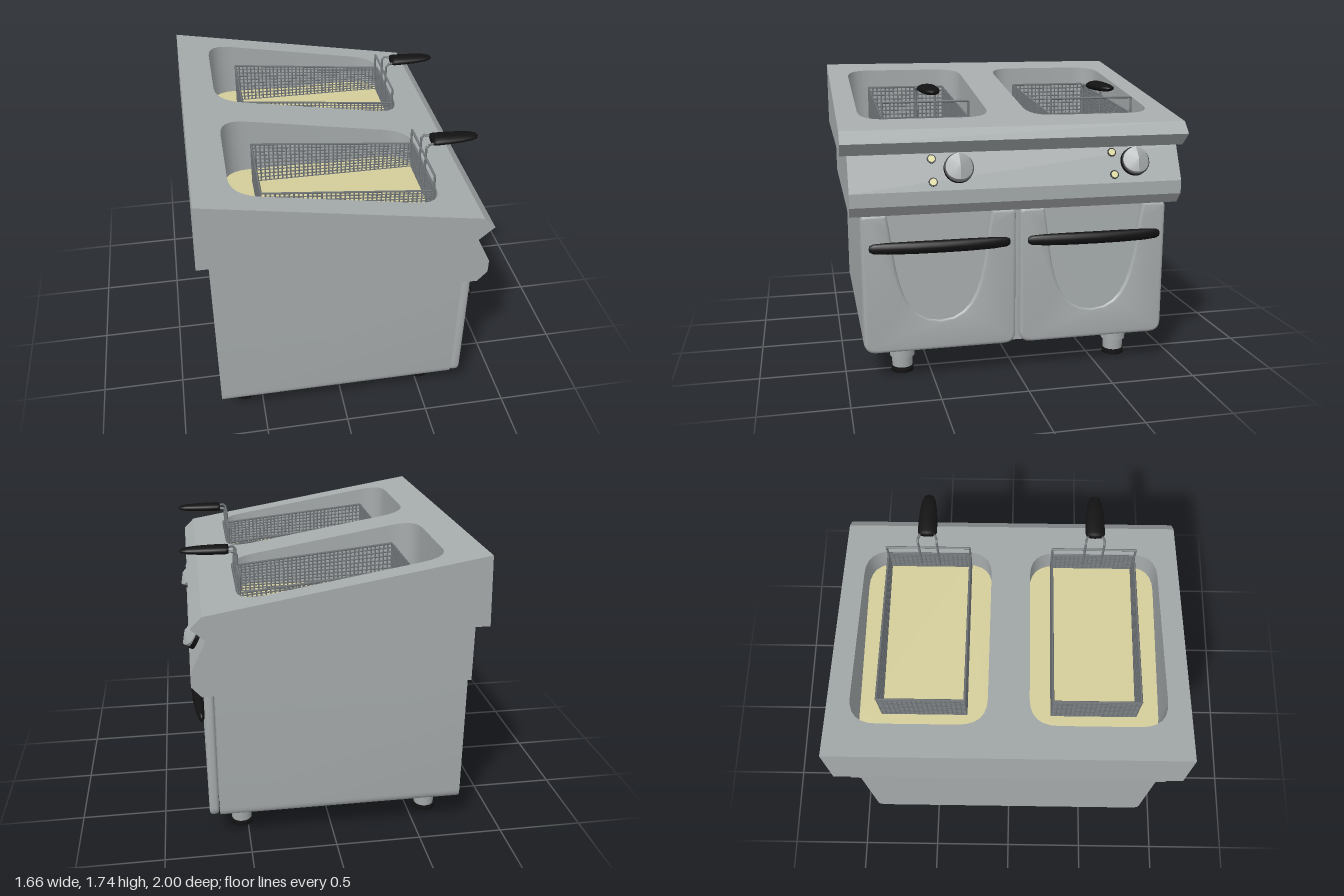
import * as THREE from 'three';
import { mergeGeometries, toCreasedNormals } from 'three/addons/utils/BufferGeometryUtils.js';

const mat = (name, color, side = THREE.FrontSide) =>
  Object.assign(new THREE.MeshStandardMaterial({ color, side }), { name });

const V = (x, y, z) => new THREE.Vector3(x, y, z);

function add(parent, name, geometry, material) {
  const mesh = new THREE.Mesh(geometry, material);
  mesh.name = name;
  parent.add(mesh);
  return mesh;
}

// Rounded rectangle with separate radii for the low-y and high-y corners
function roundRect(S, x0, y0, x1, y1, r, q = r) {
  const s = new S();
  s.moveTo(x0 + r, y0).lineTo(x1 - r, y0).quadraticCurveTo(x1, y0, x1, y0 + r);
  s.lineTo(x1, y1 - q);
  if (q) s.quadraticCurveTo(x1, y1, x1 - q, y1);
  s.lineTo(x0 + q, y1);
  if (q) s.quadraticCurveTo(x0, y1, x0, y1 - q);
  s.lineTo(x0, y0 + r).quadraticCurveTo(x0, y0, x0 + r, y0);
  return s;
}

// Side profile in x and y, extruded across the width
function prism(points, halfWidth) {
  const s = new THREE.Shape(points.map(([x, y]) => new THREE.Vector2(x, y)));
  return new THREE.ExtrudeGeometry(s, { depth: 2 * halfWidth, bevelEnabled: false }).translate(0, 0, -halfWidth);
}

// Straight wire between two points
function bar(a, b, r, sides = 4) {
  const d = b.clone().sub(a);
  const g = new THREE.CylinderGeometry(r, r, d.length(), sides);
  g.applyQuaternion(new THREE.Quaternion().setFromUnitVectors(V(0, 1, 0), d.normalize()));
  return g.translate(...a.clone().add(b).multiplyScalar(0.5).toArray());
}
const path = (pts, r) => pts.slice(1).map((p, i) => bar(pts[i], p, r, 8));

const wellShape = (S, c) => roundRect(S, -0.62, c - 0.38, 0.525, c + 0.38, 0.16);

// Sloping top with two rounded wells
function hoodGeometry() {
  const s = new THREE.Shape();
  s.moveTo(-0.83, -1).lineTo(0.72, -1).lineTo(0.72, 1).lineTo(-0.83, 1).lineTo(-0.83, -1);
  for (const c of [-0.495, 0.495]) s.holes.push(wellShape(THREE.Path, c));
  const g = new THREE.ExtrudeGeometry(s, { depth: 1, bevelEnabled: false, curveSegments: 6 }).rotateX(-Math.PI / 2);
  const p = g.attributes.position;
  for (let i = 0; i < p.count; i++) {
    let x = p.getX(i);
    if (p.getY(i) > 0.5) {
      if (x < -0.8) x = -0.815;
      p.setXYZ(i, x, 1.475 + (0.72 - x) * 0.1694, p.getZ(i));
    } else p.setXYZ(i, x > 0.7 ? 0.7 : x, 1.335, p.getZ(i));
  }
  return toCreasedNormals(g, 0.5);
}

// Door with a tongue-shaped recess running out at the top edge
function buildDoor(steel, black) {
  const door = new THREE.Group();
  const w = 0.4425, y0 = 0.187, y1 = 1, r = 0.07, q = 0.03;
  const s = new THREE.Shape();
  s.moveTo(-w + r, y0).lineTo(w - r, y0).quadraticCurveTo(w, y0, w, y0 + r);
  s.lineTo(w, y1 - q).quadraticCurveTo(w, y1, w - q, y1).lineTo(0.3, y1);
  s.bezierCurveTo(0.25, 0.75, 0.27, 0.37, 0, 0.37);
  s.bezierCurveTo(-0.27, 0.37, -0.25, 0.75, -0.3, y1);
  s.lineTo(-w + q, y1).quadraticCurveTo(-w, y1, -w, y1 - q);
  s.lineTo(-w, y0 + r).quadraticCurveTo(-w, y0, -w + r, y0);
  const panel = new THREE.ExtrudeGeometry(s, {
    depth: 0.019, bevelThickness: 0.018, bevelSize: 0.018, bevelOffset: -0.018, bevelSegments: 3, curveSegments: 10,
  }).rotateY(Math.PI / 2).translate(0.693, 0, 0);
  add(door, 'doorPanel', toCreasedNormals(panel, 0.6), steel);

  const u = new THREE.Shape();
  u.moveTo(0.33, 0.997).bezierCurveTo(0.28, 0.75, 0.3, 0.345, 0, 0.345);
  u.bezierCurveTo(-0.3, 0.345, -0.28, 0.75, -0.33, 0.997);
  const recess = new THREE.ShapeGeometry(u, 14).rotateY(Math.PI / 2);
  const p = recess.attributes.position;
  for (let i = 0; i < p.count; i++) p.setX(i, 0.725 - (p.getY(i) - 0.345) * 0.058);
  recess.computeVertexNormals();
  add(door, 'doorRecess', recess, steel);

  // Bowed grip, deepest in the middle
  const prof = [[0, -0.405], [0.018, -0.4], [0.028, -0.38], [0.034, -0.3], [0.036, -0.15], [0.036, 0],
    [0.036, 0.15], [0.034, 0.3], [0.028, 0.38], [0.018, 0.4], [0, 0.405]];
  const grip = new THREE.LatheGeometry(prof.map(([a, b]) => new THREE.Vector2(a, b)), 16).rotateX(Math.PI / 2);
  const h = grip.attributes.position;
  for (let i = 0; i < h.count; i++) {
    const k = 1 - 0.45 * (h.getZ(i) / 0.4) ** 2;
    h.setX(i, 0.727 + (h.getX(i) + 0.036) * 0.97 * k);
  }
  grip.computeVertexNormals();
  add(door, 'doorHandle', grip.translate(0, 0.815, 0), black);
  return door;
}

// Wire basket with lifting frame and tapered grip
function buildBasket(wire, black) {
  const basket = new THREE.Group();
  const x0 = -0.45, x1 = 0.515, hw = 0.248, low = 1.343, rows = 10;
  const top = x => 1.6 - (x - x0) * 0.1;
  const at = (x, t, z) => V(x, low + (top(x) - low) * t, z);
  const mesh = [], r = 0.0045;
  for (let i = 0; i <= 38; i++) {
    const x = x0 + (x1 - x0) * i / 38;
    for (const z of [-hw, hw]) mesh.push(bar(at(x, 0, z), at(x, 1, z), r));
  }
  for (let i = 0; i <= 18; i++) {
    const z = -hw + 2 * hw * i / 18;
    for (const x of [x0, x1]) mesh.push(bar(at(x, 0, z), at(x, 1, z), r));
  }
  for (let i = 0; i <= rows; i++) {
    const t = i / rows, rr = i === rows ? 0.007 : r;
    const c = [at(x0, t, -hw), at(x1, t, -hw), at(x1, t, hw), at(x0, t, hw)];
    c.forEach((a, k) => mesh.push(bar(a, c[(k + 1) % 4], rr)));
  }
  add(basket, 'basketMesh', mergeGeometries(mesh), wire);

  const x = 0.505;
  const frame = path([V(x, 1.4, -hw), V(x, 1.6, -hw), V(x, 1.6, hw), V(x, 1.4, hw)], 0.007);
  for (const z of [-0.055, 0.055]) {
    frame.push(...path([V(x, 1.4, z), V(x, 1.665, z), V(x + 0.015, 1.68, z), V(0.56, 1.68, z * 0.7)], 0.007));
  }
  add(basket, 'basketFrame', mergeGeometries(frame), wire);

  const prof = [[0, 0], [0.05, 0.002], [0.057, 0.02], [0.056, 0.09], [0.05, 0.17], [0.04, 0.23], [0.026, 0.262], [0, 0.275]];
  const grip = new THREE.LatheGeometry(prof.map(([a, b]) => new THREE.Vector2(a, b)), 16);
  grip.rotateZ(-Math.PI / 2).scale(1, 0.46, 1).translate(0.545, 1.681, 0);
  add(basket, 'basketHandle', grip, black);
  return basket;
}

// Round control with a ridged face; local y points out of the panel
function buildKnob(steel, black) {
  const knob = new THREE.Group();
  add(knob, 'knobBase', new THREE.CylinderGeometry(0.084, 0.084, 0.024, 28).translate(0, 0.012, 0), black);
  const g = new THREE.CylinderGeometry(0.076, 0.076, 1, 28).toNonIndexed();
  const p = g.attributes.position;
  for (let i = 0; i < p.count; i++) {
    const x = p.getX(i) / 0.076, z = Math.abs(p.getZ(i)) / 0.076;
    p.setY(i, p.getY(i) < 0 ? 0.02 : 0.032 + 0.048 * (1 - z) - 0.022 * x * x * (1 - z));
  }
  add(knob, 'knobCap', toCreasedNormals(g, 0.4), steel);
  return knob;
}

export function createModel() {
  const model = new THREE.Group();
  model.name = 'twinFryer';
  const steel = mat('steel', 0xa6abac);
  const black = mat('blackPlastic', 0x121212);
  const oil = mat('oil', 0xd4cd9a);
  const lamp = mat('lampYellow', 0xe2deA4);
  const wire = mat('wire', 0x74797c);

  // Housing
  add(model, 'hood', hoodGeometry(), steel);
  add(model, 'hoodNose', prism([[0.7, 1.335], [0.785, 1.41], [0.72, 1.475]], 1), steel);
  add(model, 'controlPanel', prism([[-0.76, 1], [0.74, 1], [0.795, 1.062], [0.795, 1.14], [0.7, 1.335], [-0.76, 1.335]], 0.96), steel);
  const body = new THREE.ExtrudeGeometry(roundRect(THREE.Shape, -0.9, 0.185, 0.9, 1, 0.06, 0),
    { depth: 1.43, bevelEnabled: false, curveSegments: 6 }).rotateY(Math.PI / 2).translate(-0.76, 0, 0);
  add(model, 'cabinet', toCreasedNormals(body, 0.5), steel);

  // Paired wells, baskets and doors
  for (const side of [-1, 1]) {
    const c = 0.495 * side;
    add(model, 'oilSurface', new THREE.ShapeGeometry(wellShape(THREE.Shape, -c), 6)
      .rotateX(-Math.PI / 2).translate(0, 1.342, 0), oil);
    const basket = buildBasket(wire, black);
    basket.name = 'basket';
    basket.position.z = c;
    model.add(basket);
    const door = buildDoor(steel, black);
    door.name = 'door';
    door.position.z = 0.4555 * side;
    model.add(door);
  }

  // Controls on the sloping panel
  const onPanel = (obj, y, z) => {
    obj.position.set(0.7 + (1.335 - y) * 0.487, y, z);
    obj.rotation.z = -Math.atan2(0.195, 0.095);
    model.add(obj);
  };
  for (const [knobZ, lampZ] of [[0.35, 0.497], [-0.685, -0.555]]) {
    const knob = buildKnob(steel, black);
    knob.name = 'knob';
    onPanel(knob, 1.25, knobZ);
    for (const y of [1.305, 1.185]) {
      const light = new THREE.Group();
      light.name = 'indicator';
      add(light, 'indicatorRing', new THREE.CylinderGeometry(0.026, 0.026, 0.008, 16), black);
      add(light, 'indicatorLamp', new THREE.CylinderGeometry(0.019, 0.019, 0.016, 16), lamp);
      onPanel(light, y, lampZ);
    }
  }

  // Adjustable feet
  for (const x of [-0.61, 0.535]) for (const z of [-0.665, 0.665]) {
    const foot = new THREE.Group();
    foot.name = 'foot';
    foot.position.set(x, 0, z);
    add(foot, 'footSleeve', new THREE.CylinderGeometry(0.076, 0.074, 0.09, 24).translate(0, 0.142, 0), steel);
    add(foot, 'footStem', new THREE.CylinderGeometry(0.064, 0.06, 0.07, 24).translate(0, 0.068, 0), steel);
    add(foot, 'footNeck', new THREE.CylinderGeometry(0.055, 0.055, 0.02, 24).translate(0, 0.03, 0), black);
    add(foot, 'footPad', new THREE.CylinderGeometry(0.066, 0.066, 0.022, 24).translate(0, 0.011, 0), black);
    model.add(foot);
  }
  return model;
}
